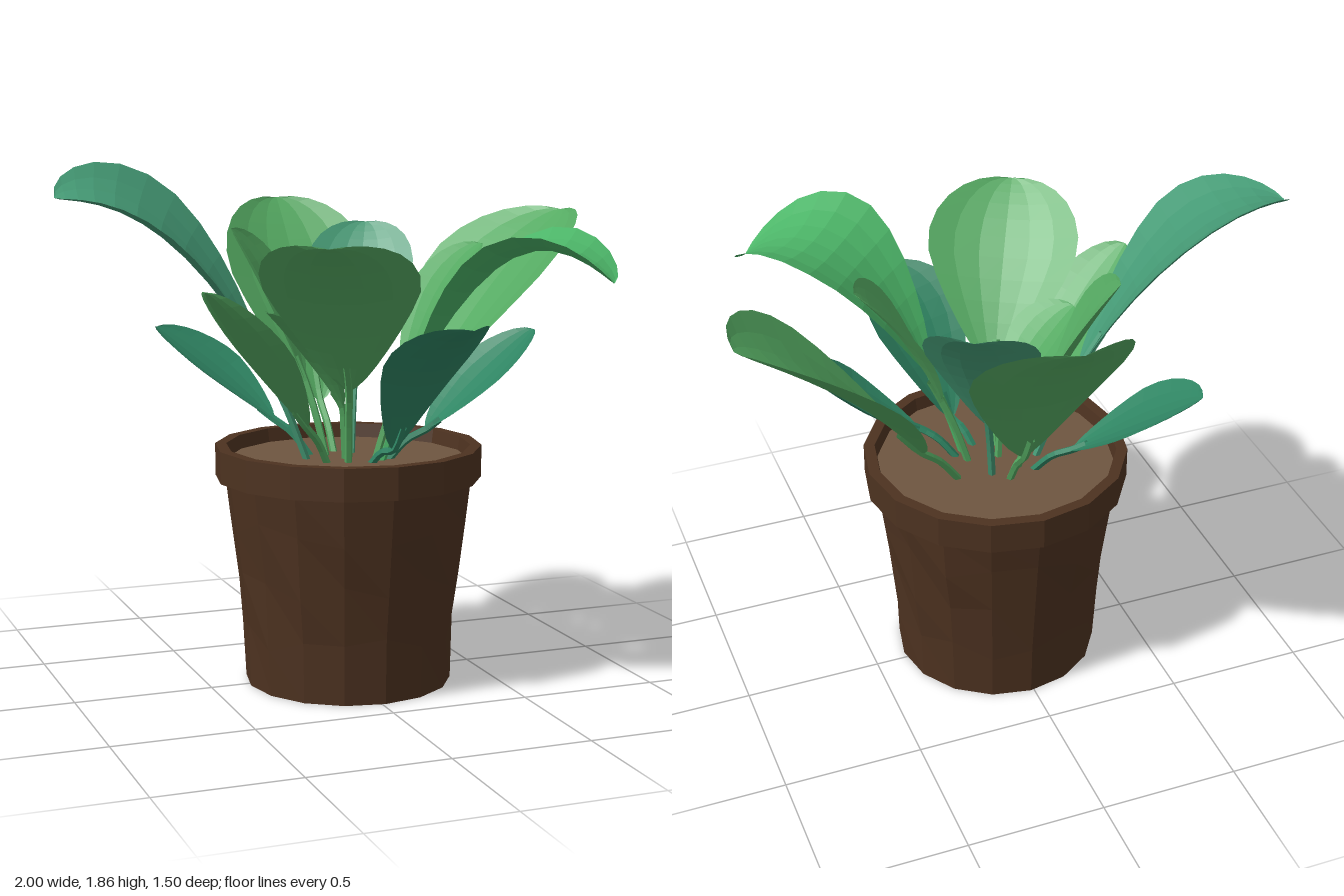
import * as THREE from 'three';

const mat = (color) => new THREE.MeshStandardMaterial({ color, flatShading: true, side: THREE.DoubleSide });
const GREEN = 0x55aa62, BRIGHT = 0x4cb568, TEAL = 0x459a75, DEEP = 0x2f8563;
const CX = 0.012, CZ = 0.027; // pot axis
const SOIL_Y = 0.81;

// A leaf: cupped, rounded blade arching from start to tip, on a thin bent stalk
function makeLeaf([name, color, start, tip, width, arch, roll = 0]) {
  const group = new THREE.Group();
  group.name = name;
  const material = mat(color);
  const s = new THREE.Vector3(...start), t = new THREE.Vector3(...tip);

  // The spine rises above the straight line by arch at its middle
  const control = s.clone().lerp(t, 0.5);
  control.y += arch * 2;
  const spine = new THREE.QuadraticBezierCurve3(s, control, t);
  const heading = t.clone().sub(s).setY(0).normalize();
  const across = new THREE.Vector3(0, 1, 0).cross(heading);

  const rows = 14, cols = 6, pos = [], index = [];
  for (let i = 0; i <= rows; i++) {
    const f = (1 - Math.cos(Math.PI * i / rows)) / 2; // closer rows at the rounded ends
    const p = spine.getPoint(f), tan = spine.getTangent(f);
    const side = across.clone().applyAxisAngle(tan, roll);
    const normal = tan.clone().cross(side);
    // full oval, a little narrower towards the stalk
    const round = Math.sqrt(Math.max(0, Math.sin(Math.PI * Math.pow(f, 1.15))));
    const half = width / 2 * Math.max(0.03, round * Math.min(1, 0.68 + 0.6 * f));
    for (let j = 0; j <= cols; j++) {
      const u = j / cols * 2 - 1;
      const q = p.clone().addScaledVector(side, u * half).addScaledVector(normal, half * 0.24 * u * u);
      pos.push(q.x, q.y, q.z);
      if (i < rows && j < cols) {
        const a = i * (cols + 1) + j, c = a + cols + 1;
        index.push(a, a + 1, c, a + 1, c + 1, c);
      }
    }
  }
  const geo = new THREE.BufferGeometry();
  geo.setAttribute('position', new THREE.Float32BufferAttribute(pos, 3));
  geo.setIndex(index);
  geo.computeVertexNormals();
  const blade = new THREE.Mesh(geo, material);
  blade.name = name + 'Blade';

  // Stalk runs from near the middle of the soil into the lower blade
  const foot = new THREE.Vector3(CX, 0, CZ).lerp(s, 0.5).setY(SOIL_Y - 0.01);
  const bend = foot.clone().lerp(s, 0.5);
  bend.y += 0.02;
  const stalkCurve = new THREE.CatmullRomCurve3([foot, bend, s, spine.getPoint(0.12)]);
  const stalk = new THREE.Mesh(new THREE.TubeGeometry(stalkCurve, 8, 0.014, 5), material);
  stalk.name = name + 'Stalk';
  group.add(blade, stalk);
  return group;
}

// name, colour, blade start, tip, width, arch, roll
const LEAVES = [
  ['largeRightSideLeaf', TEAL, [-0.28, 1.15, -0.03], [-1, 1.75, -0.13], 0.62, 0.18, -0.25],
  ['largeLeftSideLeaf', GREEN, [0.34, 1.0, -0.1], [1, 1.66, -0.28], 0.68, 0.06],
  ['largeBackLeaf', GREEN, [0, 0.98, -0.23], [0.01, 1.7, -0.75], 0.56, 0.06],
  ['innerBackLeaf', TEAL, [0.1, 1.08, -0.14], [0.26, 1.62, -0.44], 0.4, 0.06],
  ['largeFrontLeftLeaf', BRIGHT, [0.2, 1.12, 0.2], [0.73, 1.47, 0.66], 0.55, 0.25],
  ['largeFrontRightLeaf', GREEN, [-0.05, 1.08, 0.2], [-0.28, 1.61, 0.62], 0.55, 0.06],
  ['innerRightLeaf', GREEN, [-0.02, 1.0, 0.05], [-0.31, 1.35, 0.09], 0.32, 0.03],
  ['innerLeftLeaf', GREEN, [0.2, 1.08, 0.08], [0.5, 1.57, 0.08], 0.4, 0.05],
  ['lowFrontLeaf', DEEP, [0.1, 0.87, 0.25], [0.22, 1.33, 0.65], 0.39, 0.07],
  ['innerBackRightLeaf', GREEN, [-0.1, 1.08, -0.12], [-0.33, 1.62, -0.26], 0.39, 0.04],
  ['lowBackRightLeaf', DEEP, [-0.2, 0.93, -0.18], [-0.55, 1.25, -0.48], 0.37, 0],
  ['lowLeftLeaf', DEEP, [0.26, 0.92, 0.16], [0.68, 1.26, 0.15], 0.39, -0.02],
  ['lowFrontRightLeaf', GREEN, [-0.19, 0.95, 0.15], [-0.59, 1.45, 0.28], 0.35, 0],
];

export function createModel() {
  const model = new THREE.Group();
  model.name = 'pottedPlant';

  // Tapered pot with a stepped, hollow rim
  const profile = [[0, 0], [0.372, 0], [0.38, 0.2], [0.398, 0.4], [0.424, 0.6], [0.443, 0.745],
    [0.478, 0.745], [0.478, 0.86], [0.438, 0.86], [0.425, 0.78]].map(([r, y]) => new THREE.Vector2(r, y));
  const potGeo = new THREE.LatheGeometry(profile, 16);
  const p = potGeo.attributes.position;
  for (let i = 0; i < p.count; i++) { // slight hand-hewn unevenness on the wall
    const y = p.getY(i);
    if (y < 0.1 || y > 0.7) continue;
    const a = Math.round(Math.atan2(p.getX(i), p.getZ(i)) * 8 / Math.PI + 16) % 16;
    const k = 1 + 0.008 * Math.sin(a * 2.7 + y * 17);
    p.setXYZ(i, p.getX(i) * k, y + 0.035 * Math.sin(a * 4.1 + y * 9), p.getZ(i) * k);
  }
  potGeo.computeVertexNormals();
  const pot = new THREE.Mesh(potGeo, mat(0x4d3220));
  pot.name = 'pot';
  pot.position.set(CX, 0, CZ);

  const soil = new THREE.Mesh(new THREE.CircleGeometry(0.43, 16).rotateX(-Math.PI / 2), mat(0x6e5640));
  soil.name = 'soil';
  soil.position.set(CX, SOIL_Y, CZ);

  const foliage = new THREE.Group();
  foliage.name = 'foliage';
  LEAVES.forEach((leaf) => foliage.add(makeLeaf(leaf)));

  model.add(pot, soil, foliage);
  return model;
}
